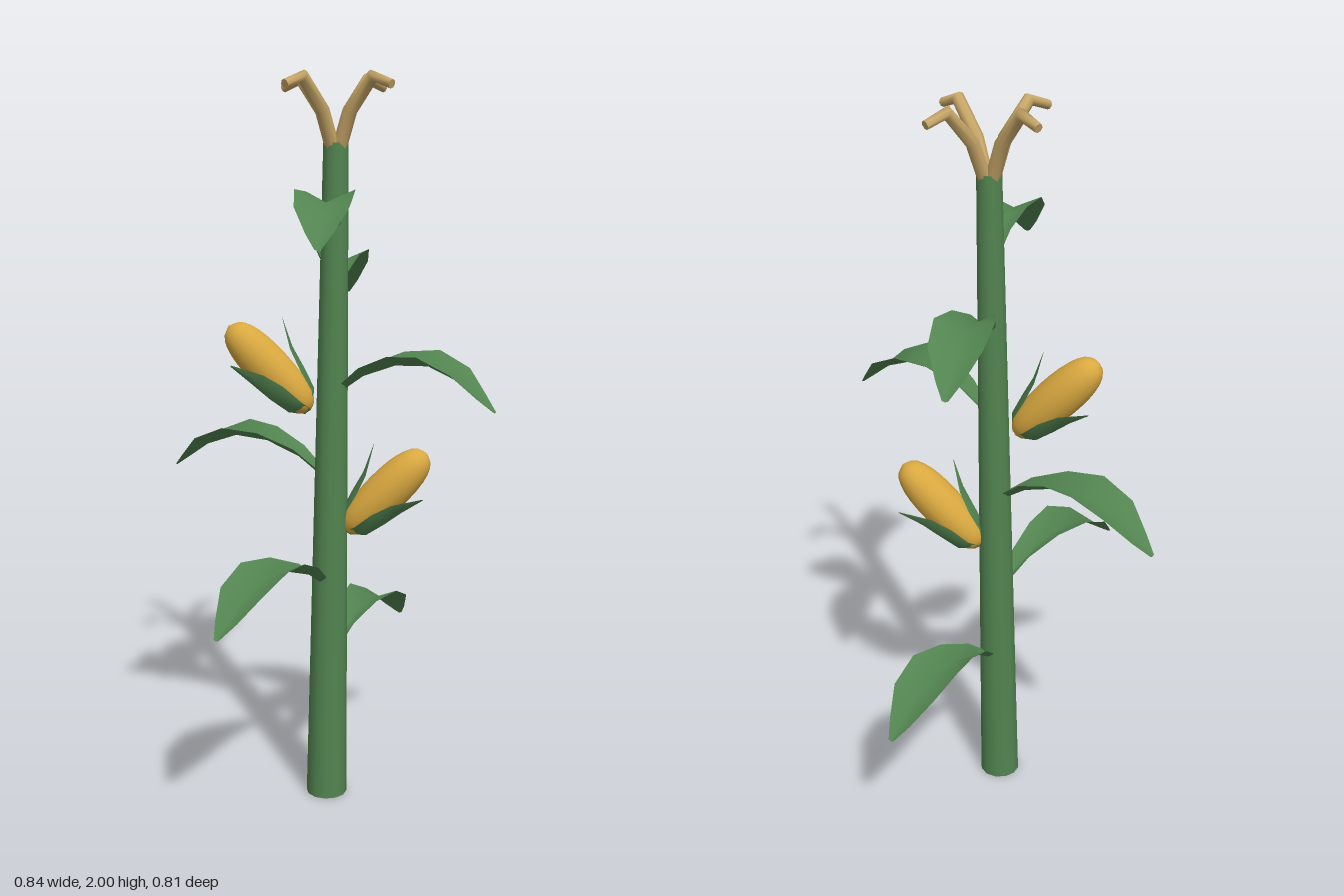
import * as THREE from 'three';

const V = (x, y, z) => new THREE.Vector3(x, y, z);

// Skin a list of equally sized cross-sections; closed joins the last point to the first
function loft(sections, closed) {
  const n = sections[0].length, pos = [], idx = [];
  sections.forEach(s => s.forEach(p => pos.push(p.x, p.y, p.z)));
  for (let i = 0; i < sections.length - 1; i++) {
    for (let j = 0; j < (closed ? n : n - 1); j++) {
      const a = i * n + j, b = i * n + (j + 1) % n;
      idx.push(a, b, a + n, b, b + n, a + n);
    }
  }
  const g = new THREE.BufferGeometry();
  g.setAttribute('position', new THREE.Float32BufferAttribute(pos, 3));
  g.setIndex(idx);
  g.computeVertexNormals();
  return g;
}

// Arched, V-shaped leaf running along +x; stations are [t, height, half width, edge lift]
function leafGeometry(length) {
  const stations = [
    [0.02, 0.005, 0.012, 0.015], [0.2, 0.065, 0.032, 0.025], [0.4, 0.1, 0.056, 0.03],
    [0.6, 0.105, 0.076, 0.033], [0.79, 0.07, 0.068, 0.028], [0.92, 0.025, 0.034, 0.012],
    [1, -0.002, 0.008, 0.003],
  ];
  return loft(stations.map(([t, h, w, lift]) => [
    V(t * length, h + lift, -w), V(t * length, h, 0), V(t * length, h + lift, w),
  ]), false);
}

// Husk leaf beside a cob standing on y; stations are [radius, height, half width, inward cup]
function huskGeometry() {
  const stations = [
    [0.012, -0.155, 0.012, 0], [0.05, -0.12, 0.026, 0.008], [0.069, -0.06, 0.03, 0.012],
    [0.085, 0.0, 0.023, 0.008], [0.12, 0.077, 0.002, 0],
  ];
  return loft(stations.map(([r, y, w, cup]) => [
    V(r - cup, y, w), V(r, y, 0), V(r - cup, y, -w),
  ]), false);
}

// Tapered, drooping tassel strand running out along +x
function strandGeometry() {
  const path = [[0.01, 1.8], [0.05, 1.9], [0.125, 1.983], [0.188, 1.962]];
  const radii = [0.019, 0.018, 0.017, 0.012];
  const ring = (i, r) => {
    const a = path[Math.max(i - 1, 0)], b = path[Math.min(i + 1, path.length - 1)];
    const slope = Math.atan2(b[1] - a[1], b[0] - a[0]);
    return Array.from({ length: 8 }, (_, k) => {
      const u = Math.cos(k * Math.PI / 4) * r, w = Math.sin(k * Math.PI / 4) * r;
      return V(path[i][0] - Math.sin(slope) * u, path[i][1] + Math.cos(slope) * u, w);
    });
  };
  const last = path.length - 1;
  const sections = path.map((_, i) => ring(i, radii[i]));
  sections.push(ring(last, radii[last]), ring(last, 0));
  return loft(sections, true);
}

export function createModel() {
  const model = new THREE.Group();
  model.name = 'cornPlant';

  const green = new THREE.MeshStandardMaterial({ color: 0x528450, side: THREE.DoubleSide });
  green.name = 'leafGreen';
  const yellow = new THREE.MeshStandardMaterial({ color: 0xd9a840 });
  yellow.name = 'cobYellow';
  const tan = new THREE.MeshStandardMaterial({ color: 0xc8a768, side: THREE.DoubleSide });
  tan.name = 'tasselTan';

  const add = (parent, name, geometry, material) => {
    const mesh = new THREE.Mesh(geometry, material);
    mesh.name = name;
    parent.add(mesh);
    return mesh;
  };

  // Stalk, tapering and leaning slightly
  const stalkX = y => 0.021 + 0.0105 * y;
  const stalkZ = y => 0.008 + 0.006 * y;
  const stalk = new THREE.CylinderGeometry(0.033, 0.057, 1.82, 12, 6).translate(0, 0.91, 0);
  const p = stalk.attributes.position;
  for (let i = 0; i < p.count; i++) {
    p.setX(i, p.getX(i) + stalkX(p.getY(i)));
    p.setZ(i, p.getZ(i) + stalkZ(p.getY(i)));
  }
  add(model, 'stalk', stalk, green);

  // Leaves, each given by its tip
  const tips = [
    [0.415, 0.39, -0.27], [-0.415, 0.61, 0.26], [-0.26, 0.91, -0.4],
    [0.3, 1.15, 0.4], [0.265, 1.39, -0.345], [-0.165, 1.57, 0.325],
  ];
  tips.forEach(([x, y, z]) => {
    const dx = x - stalkX(y), dz = z - stalkZ(y);
    const leaf = add(model, 'leaf', leafGeometry(Math.hypot(dx, dz)), green);
    leaf.position.set(stalkX(y), y, stalkZ(y));
    leaf.rotation.y = Math.atan2(-dz, dx);
  });

  // Cobs on opposite sides, each wrapped by three husk leaves
  const profile = new THREE.SplineCurve([
    [0, -0.158], [0.03, -0.142], [0.05, -0.09], [0.059, 0], [0.054, 0.085], [0.034, 0.14], [0, 0.158],
  ].map(([r, y]) => new THREE.Vector2(r, y))).getPoints(16);
  profile.forEach(q => { q.x = Math.max(q.x, 0); });
  const cobGeometry = new THREE.LatheGeometry(profile, 16);
  const axis = V(0.59, 0.72, 0.375).normalize();
  const out = V(0.088, -0.034, -0.075);
  out.addScaledVector(axis, -out.dot(axis)).normalize();
  const basis = new THREE.Matrix4().makeBasis(out, axis, out.clone().cross(axis));

  [[0.885, 0], [1.228, Math.PI]].forEach(([y, turn]) => {
    const side = new THREE.Group();
    side.name = 'ear';
    side.position.set(0.024, y, 0.009);
    side.rotation.y = turn;
    const ear = new THREE.Group();
    ear.name = 'earTilt';
    ear.position.set(0.14, 0, 0.072);
    ear.quaternion.setFromRotationMatrix(basis);
    add(ear, 'cob', cobGeometry, yellow);
    for (let k = 0; k < 3; k++) {
      add(ear, 'husk', huskGeometry(), green).rotation.y = k * Math.PI * 2 / 3;
    }
    side.add(ear);
    model.add(side);
  });

  // Tassel of four strands
  const tassel = new THREE.Group();
  tassel.name = 'tassel';
  tassel.position.set(stalkX(1.82), 0, stalkZ(1.82));
  for (let k = 0; k < 4; k++) {
    add(tassel, 'tasselStrand', strandGeometry(), tan).rotation.y = 0.353 + k * Math.PI / 2;
  }
  model.add(tassel);

  return model;
}
